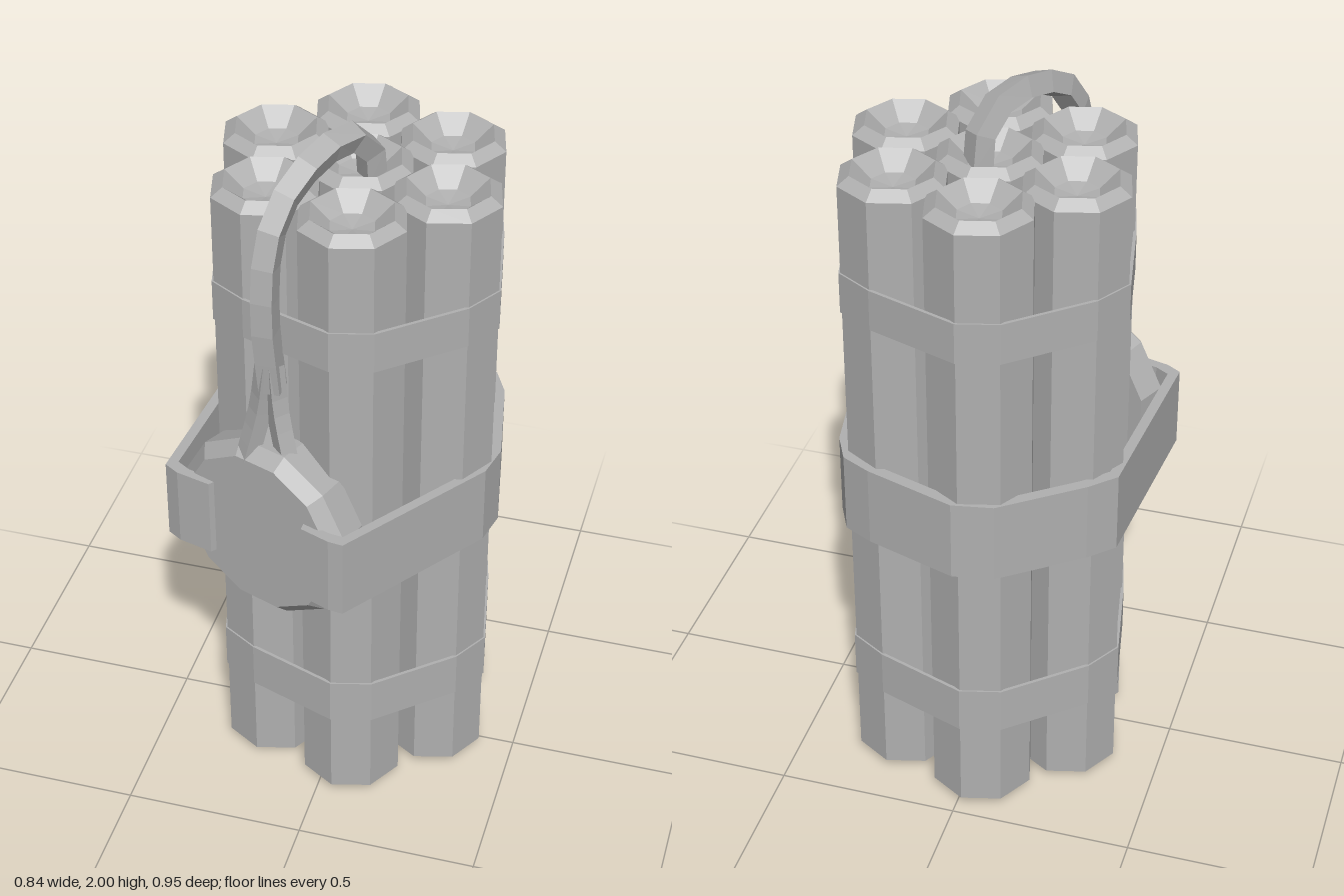
import * as THREE from 'three';

const grey = new THREE.MeshStandardMaterial({ color: 0xb0b0b0, flatShading: true });
grey.name = 'grey';

const STICK_R = 0.144;
const CENTRE = [0.015, -0.07];
const RING = 0.262;
const TURN = THREE.MathUtils.degToRad(8);

// Centres of the six outer sticks on the floor plan (x, z)
const outerSticks = Array.from({ length: 6 }, (_, k) => {
  const a = THREE.MathUtils.degToRad(19 + 60 * k);
  return [CENTRE[0] + RING * Math.cos(a), CENTRE[1] + RING * Math.sin(a)];
});

function add(group, name, geometry) {
  const mesh = new THREE.Mesh(geometry, grey);
  mesh.name = name;
  group.add(mesh);
  return mesh;
}

// Convex outline round the outer sticks, each an octagon of radius r
function hull(r) {
  const pts = outerSticks.flatMap(([x, z]) => Array.from({ length: 8 }, (_, i) => {
    const a = TURN + i * Math.PI / 4;
    return new THREE.Vector2(x + r * Math.cos(a), z + r * Math.sin(a));
  })).sort((a, b) => a.x - b.x || a.y - b.y);
  const half = (list) => {
    const out = [];
    for (const p of list) {
      while (out.length > 1) {
        const a = out[out.length - 2], b = out[out.length - 1];
        if ((b.x - a.x) * (p.y - a.y) - (b.y - a.y) * (p.x - a.x) > 1e-6) break;
        out.pop();
      }
      out.push(p);
    }
    return out.slice(0, -1);
  };
  return [...half(pts), ...half(pts.slice().reverse())];
}

// Extrude a floor plan (x, z) between two heights
function upright(shape, y0, y1) {
  return new THREE.ExtrudeGeometry(shape, { depth: y1 - y0, bevelEnabled: false })
    .rotateX(Math.PI / 2).translate(0, y1, 0);
}

// Square-section cord through a few points
function cord(points, radius) {
  const curve = new THREE.CatmullRomCurve3(points.map((p) => new THREE.Vector3(...p)));
  return new THREE.TubeGeometry(curve, points.length + 3, radius, 4, false);
}

export function createModel() {
  const model = new THREE.Group();
  model.name = 'stickBundle';

  // Seven octagonal sticks with chamfered rims and dished ends
  const profile = [
    [0, 0.055], [0.06, 0.045], [0.112, 0.003], [STICK_R, 0.03],
    [STICK_R, 1.84], [0.112, 1.863], [0.06, 1.82], [0, 1.81],
  ].map(([r, y]) => new THREE.Vector2(r, y));
  const stickGeo = new THREE.LatheGeometry(profile, 8);
  stickGeo.rotateY(-TURN);
  [CENTRE, ...outerSticks].forEach(([x, z]) => {
    add(model, 'stick', stickGeo).position.set(x, 0, z);
  });

  // Two thin bands pulled tight round the sticks
  const ring = new THREE.Shape(hull(STICK_R + 0.005));
  ring.holes.push(new THREE.Path(hull(STICK_R - 0.004)));
  add(model, 'lowerBand', upright(ring, 0.29, 0.425));
  add(model, 'upperBand', upright(ring, 1.48, 1.595));

  // Wide strap whose ends fold over the front of the timer
  const outer = [
    [0.0, 0.44], [0.08, 0.47], [0.12, 0.475], [0.4, 0.08], [0.42, -0.015],
    [0.37, -0.28], [0.33, -0.36], [0.25, -0.4], [0, -0.48], [-0.11, -0.46],
    [-0.315, -0.305], [-0.38, -0.24], [-0.42, 0.28], [-0.38, 0.305], [-0.285, 0.33],
  ].map(([x, z]) => new THREE.Vector2(x, z));
  const inner = outer.map((p) => p.clone().multiplyScalar(0.93)).reverse();
  add(model, 'strap', upright(new THREE.Shape([...outer, ...inner]), 0.82, 1.05));

  // Round timer, turned to face slightly right
  const discProfile = [[0, -0.12], [0.262, -0.12], [0.27, -0.035], [0.235, 0], [0, 0]]
    .map(([r, y]) => new THREE.Vector2(r, y));
  const discGeo = new THREE.LatheGeometry(discProfile, 12);
  discGeo.rotateY(Math.PI / 12).rotateX(Math.PI / 2);
  const disc = add(model, 'timer', discGeo);
  disc.position.set(-0.145, 0.945, 0.365);
  disc.rotation.y = -0.353;

  // Fuse arching from the middle stick to the front
  add(model, 'fuse', cord([
    [0.045, 1.8, -0.075], [0.042, 1.89, -0.062], [0.01, 1.955, 0], [-0.03, 1.96, 0.09],
    [-0.085, 1.91, 0.22], [-0.115, 1.81, 0.285], [-0.122, 1.62, 0.318], [-0.11, 1.38, 0.305],
  ], 0.04));

  // The fuse splits into two strands that enter the timer
  for (const side of [-1, 1]) {
    add(model, 'fuseStrand', cord([
      [-0.115 + side * 0.008, 1.46, 0.31],
      [-0.12 + side * 0.022, 1.32, 0.308],
      [-0.122 + side * 0.055, 1.16, 0.325],
    ], 0.031));
  }

  return model;
}
